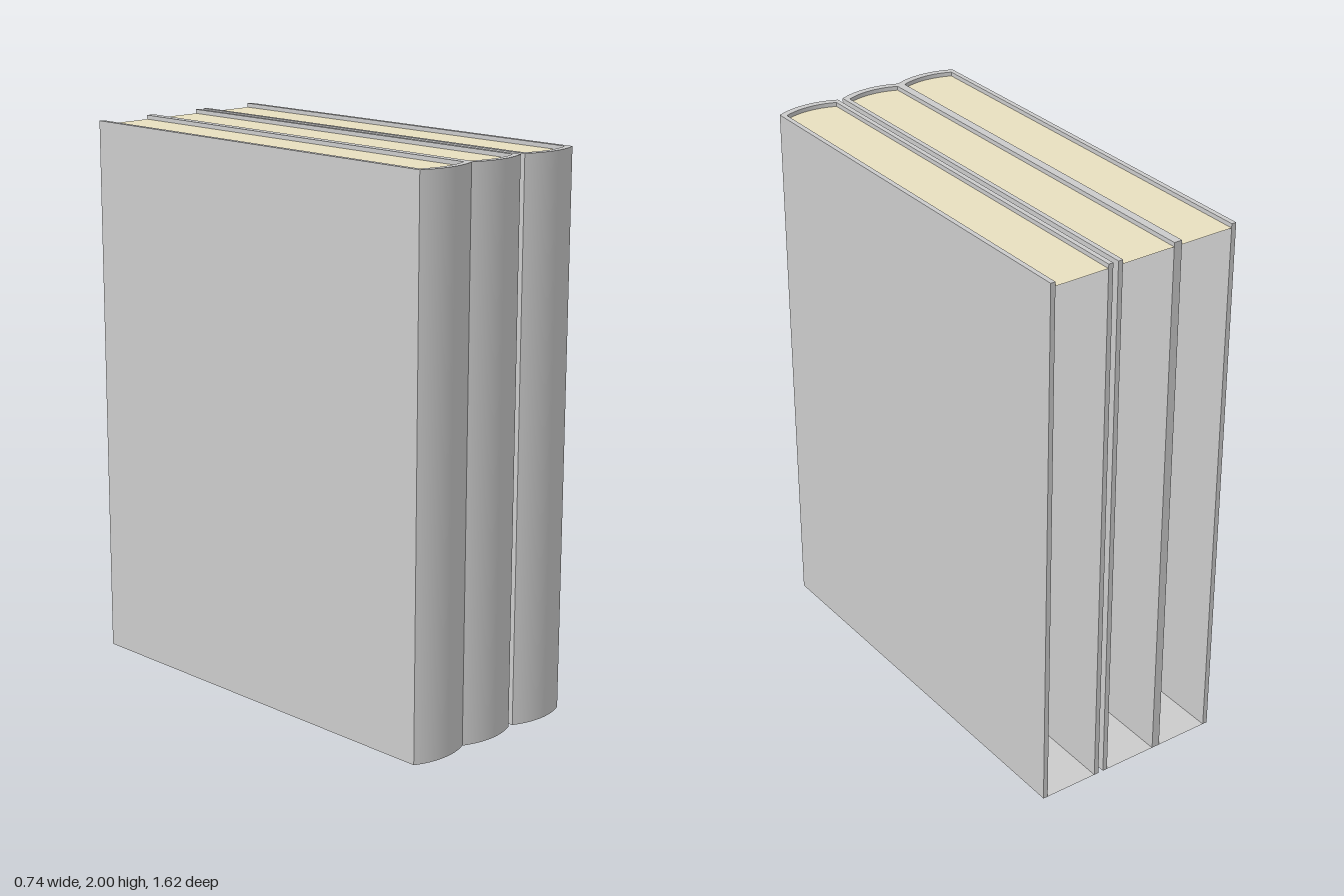
import * as THREE from 'three';
import { toCreasedNormals } from 'three/addons/utils/BufferGeometryUtils.js';

const HEIGHT = 2, BACK = -0.81;
const HALF = 0.12, WALL = 0.018;      // half width of a book, cover thickness
const FRONT = 0.81, BULGE = 0.028;    // rounded spine

// Points of a rounded spine from -x to +x; shape y is -z
function spine(half, front, bulge, segments = 16) {
  const r = (half * half + bulge * bulge) / (2 * bulge);
  const a = Math.asin(half / r);
  return Array.from({ length: segments + 1 }, (_, i) => {
    const t = -a + (2 * a * i) / segments;
    return new THREE.Vector2(r * Math.sin(t), -(front - r + r * Math.cos(t)));
  });
}

// Full outline: spine closed by a straight back edge
function outline(points, half) {
  return [new THREE.Vector2(-half, -BACK), ...points, new THREE.Vector2(half, -BACK)];
}

export function createModel() {
  const model = new THREE.Group();
  model.name = 'bookRow';
  const coverMat = new THREE.MeshStandardMaterial({ color: 0xcccccc, side: THREE.DoubleSide });
  const pageMat = new THREE.MeshStandardMaterial({ color: 0xe8dfbf, side: THREE.DoubleSide });

  const innerHalf = HALF - WALL;
  const outer = outline(spine(HALF, FRONT, BULGE), HALF);
  const inner = outline(spine(innerHalf, FRONT - 0.025, 0.022), innerHalf);

  // U-shaped cover, open at the back edge
  const coverShape = new THREE.Shape([...outer, ...inner.slice().reverse()]);
  const coverGeo = toCreasedNormals(
    new THREE.ExtrudeGeometry(coverShape, { depth: HEIGHT, bevelEnabled: false })
      .rotateX(-Math.PI / 2), 0.5);

  // Thin sheets closing the top (pages) and the bottom
  const sheetGeo = new THREE.ShapeGeometry(new THREE.Shape(inner)).rotateX(-Math.PI / 2);

  const add = (book, name, geo, mat, y) => {
    const mesh = new THREE.Mesh(geo, mat);
    mesh.name = name;
    mesh.position.y = y;
    book.add(mesh);
  };

  // Three identical books, the first two touching
  [-0.249, -0.014, 0.246].forEach((x, i) => {
    const book = new THREE.Group();
    book.name = 'book' + (i + 1);
    add(book, 'cover', coverGeo, coverMat, 0);
    add(book, 'pageTop', sheetGeo, pageMat, HEIGHT - 0.015);
    add(book, 'bottom', sheetGeo, coverMat, 0);
    book.position.x = x;
    model.add(book);
  });
  return model;
}
